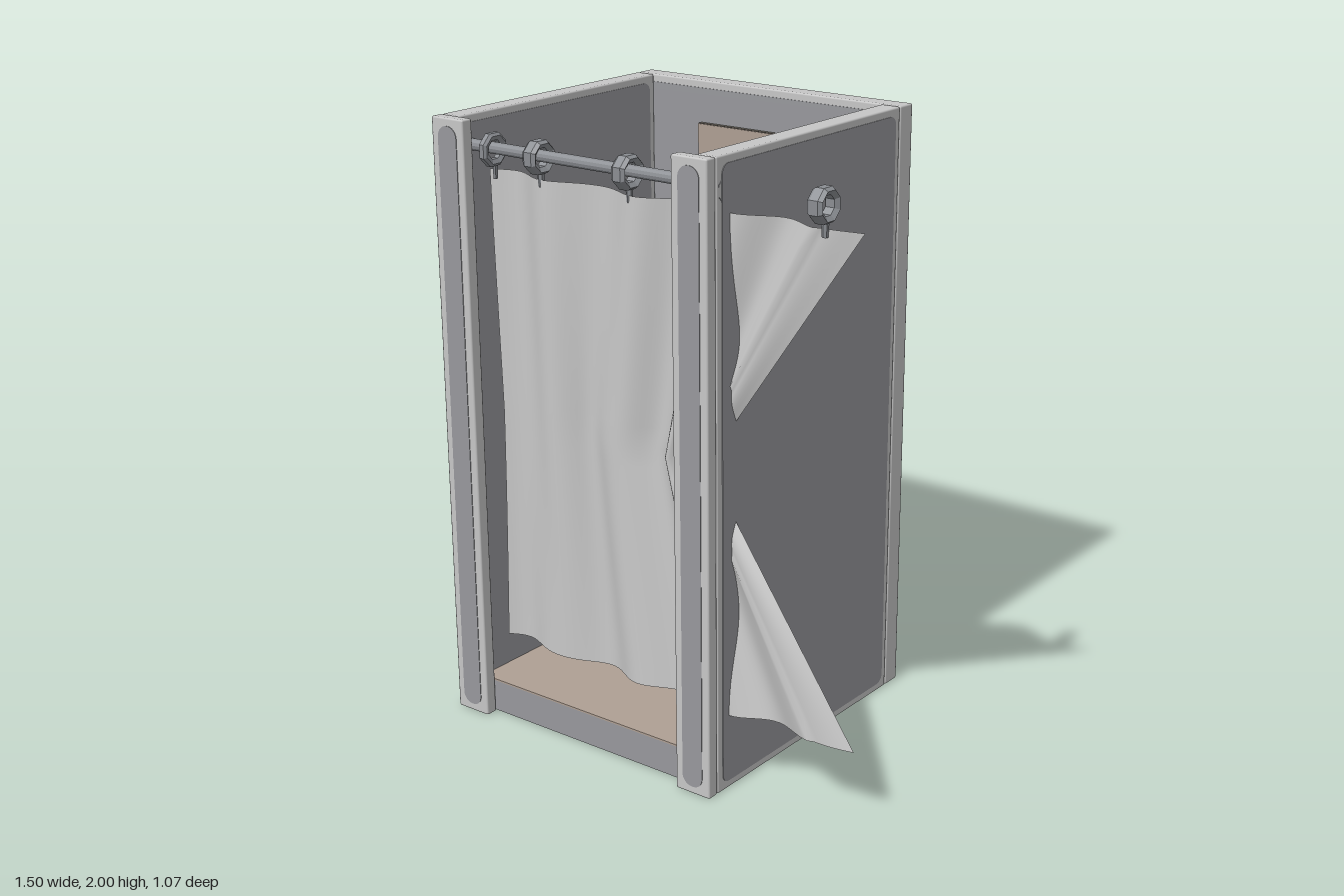
import * as THREE from 'three';
import { RoundedBoxGeometry } from 'three/addons/geometries/RoundedBoxGeometry.js';

const paint = (name, color, extra = {}) => {
  const m = new THREE.MeshStandardMaterial({ color, ...extra });
  m.name = name;
  return m;
};

function roundedRect(w, h, r) {
  const s = new THREE.Shape(), x = w / 2, y = h / 2;
  s.absarc(x - r, y - r, r, 0, Math.PI / 2);
  s.absarc(-x + r, y - r, r, Math.PI / 2, Math.PI);
  s.absarc(-x + r, -y + r, r, Math.PI, Math.PI * 1.5);
  s.absarc(x - r, -y + r, r, Math.PI * 1.5, Math.PI * 2);
  return s;
}

export function createModel() {
  const frame = paint('light grey frame', 0xc6c6c6);
  const panel = paint('grey panel', 0x97989c);
  const fabric = paint('curtain fabric', 0xc8c8c8, { side: THREE.DoubleSide });
  const metal = paint('grey metal', 0x8a8d92, { flatShading: true });
  const wood = paint('tan wood', 0xae9f93);
  const dark = paint('dark brown', 0x635d55, { flatShading: true });

  const model = new THREE.Group();
  const add = (name, geo, mat, x = 0, y = 0, z = 0, parent = model) => {
    const m = new THREE.Mesh(geo, mat);
    m.name = name;
    m.position.set(x, y, z);
    parent.add(m);
    return m;
  };

  // Upright board with a grey rounded panel showing on both faces
  function board(name, w, t, x, z, turn, margin, r) {
    const g = new THREE.Group();
    g.name = name;
    add(name + 'Frame', new RoundedBoxGeometry(w, 2, t, 1, 0.006), frame, 0, 0, 0, g);
    const depth = t + 0.004;
    const inset = new THREE.ExtrudeGeometry(roundedRect(w - 2 * margin, 1.95, r),
      { depth, bevelEnabled: false, curveSegments: 6 });
    add(name + 'Panel', inset, panel, 0, 0, -depth / 2, g);
    g.position.set(x, 1, z);
    g.rotation.y = turn;
    model.add(g);
  }
  board('backWall', 1.06, 0.07, -0.222, -0.497, 0, 0.025, 0.04);
  board('rightWall', 0.945, 0.07, -0.717, 0.013, Math.PI / 2, 0.025, 0.03);
  board('leftWall', 0.945, 0.07, 0.273, 0.013, Math.PI / 2, 0.025, 0.03);
  board('rightPost', 0.13, 0.042, -0.69, 0.508, 0, 0.027, 0.036);
  board('leftPost', 0.13, 0.042, 0.243, 0.508, 0, 0.027, 0.036);

  // Raised floor with a wooden top
  add('floorBase', new THREE.BoxGeometry(0.92, 0.108, 0.942), panel, -0.222, 0.056, 0.011);
  add('floorTop', new THREE.BoxGeometry(0.92, 0.006, 0.942), wood, -0.222, 0.113, 0.011);

  // Wall mirror
  add('mirrorBacking', new THREE.BoxGeometry(0.51, 1.655, 0.018), dark, -0.223, 1.032, -0.451);
  add('mirrorFace', new THREE.BoxGeometry(0.508, 1.61, 0.004), wood, -0.223, 1.053, -0.441);

  // Curtain rod and rings
  const rodY = 1.905, rodZ = 0.431;
  const rod = add('curtainRod', new THREE.CylinderGeometry(0.019, 0.019, 0.93, 12), metal, -0.222, rodY, rodZ);
  rod.rotation.z = Math.PI / 2;
  const ringProfile = [[0.031, -0.015], [0.046, -0.026], [0.055, -0.014], [0.055, 0.014],
    [0.046, 0.026], [0.031, 0.015], [0.031, -0.015]].map(([x, y]) => new THREE.Vector2(x, y));
  const ringGeo = new THREE.LatheGeometry(ringProfile, 8);
  ringGeo.rotateY(Math.PI / 8);
  ringGeo.rotateZ(Math.PI / 2);
  [-0.595, -0.407, -0.06, 0.283, 0.635].forEach((x, i) => {
    const g = new THREE.Group();
    g.name = 'curtainRing';
    g.position.set(x, 1.9, rodZ);
    g.scale.x = i === 0 ? 0.6 : 1;
    add('ringLoop', ringGeo, metal, 0, 0, 0, g);
    add('ringHook', new THREE.CylinderGeometry(0.012, 0.009, 0.05, 6), metal, 0, -0.068, -0.008, g);
    model.add(g);
  });

  // Pleated curtain, gathered toward one side at mid height
  const outer = [-0.635, -0.3, -0.05, 0.2, 0.75];
  const gathered = [-0.62, -0.32, -0.14, 0.05, 0.2];
  const gather = (x) => {
    let i = 0;
    while (i < 3 && x > outer[i + 1]) i++;
    const t = (x - outer[i]) / (outer[i + 1] - outer[i]);
    return THREE.MathUtils.lerp(gathered[i], gathered[i + 1], t);
  };
  const cloth = new THREE.PlaneGeometry(1.385, 1.58, 72, 24);
  const p = cloth.attributes.position;
  for (let i = 0; i < p.count; i++) {
    const x = p.getX(i) + 0.0575, y = p.getY(i);
    const pull = 1 - Math.abs(y) / 0.79;
    const wave = Math.sin((x + 0.13) * Math.PI * 2 / 0.34);
    const ripple = 0.004 * Math.sin(x * 31 + y * 3);
    const fade = x > 0.6 ? 0.5 : 1;
    p.setXYZ(i, THREE.MathUtils.lerp(x, gather(x), pull), y + 1.04,
      0.404 + (0.025 * wave + ripple) * fade);
  }
  cloth.computeVertexNormals();
  add('curtain', cloth, fabric);

  // Three-legged stool
  const stool = new THREE.Group();
  stool.name = 'stool';
  stool.position.set(0.047, 0, -0.226);
  model.add(stool);
  add('stoolSeat', new THREE.CylinderGeometry(0.177, 0.17, 0.05, 13), dark, 0, 0.425, 0, stool);
  [0, 1, 2].forEach((i) => {
    const a = -Math.PI / 2 + 0.03 + i * Math.PI * 2 / 3;
    const top = new THREE.Vector3(Math.cos(a) * 0.04, 0.405, Math.sin(a) * 0.04);
    const foot = new THREE.Vector3(Math.cos(a) * 0.185, 0.122, Math.sin(a) * 0.185);
    const dir = top.clone().sub(foot);
    const mid = top.clone().add(foot).multiplyScalar(0.5);
    const leg = add('stoolLeg', new THREE.CylinderGeometry(0.022, 0.014, dir.length(), 8), wood,
      mid.x, mid.y, mid.z, stool);
    leg.quaternion.setFromUnitVectors(new THREE.Vector3(0, 1, 0), dir.normalize());
  });

  return model;
}
